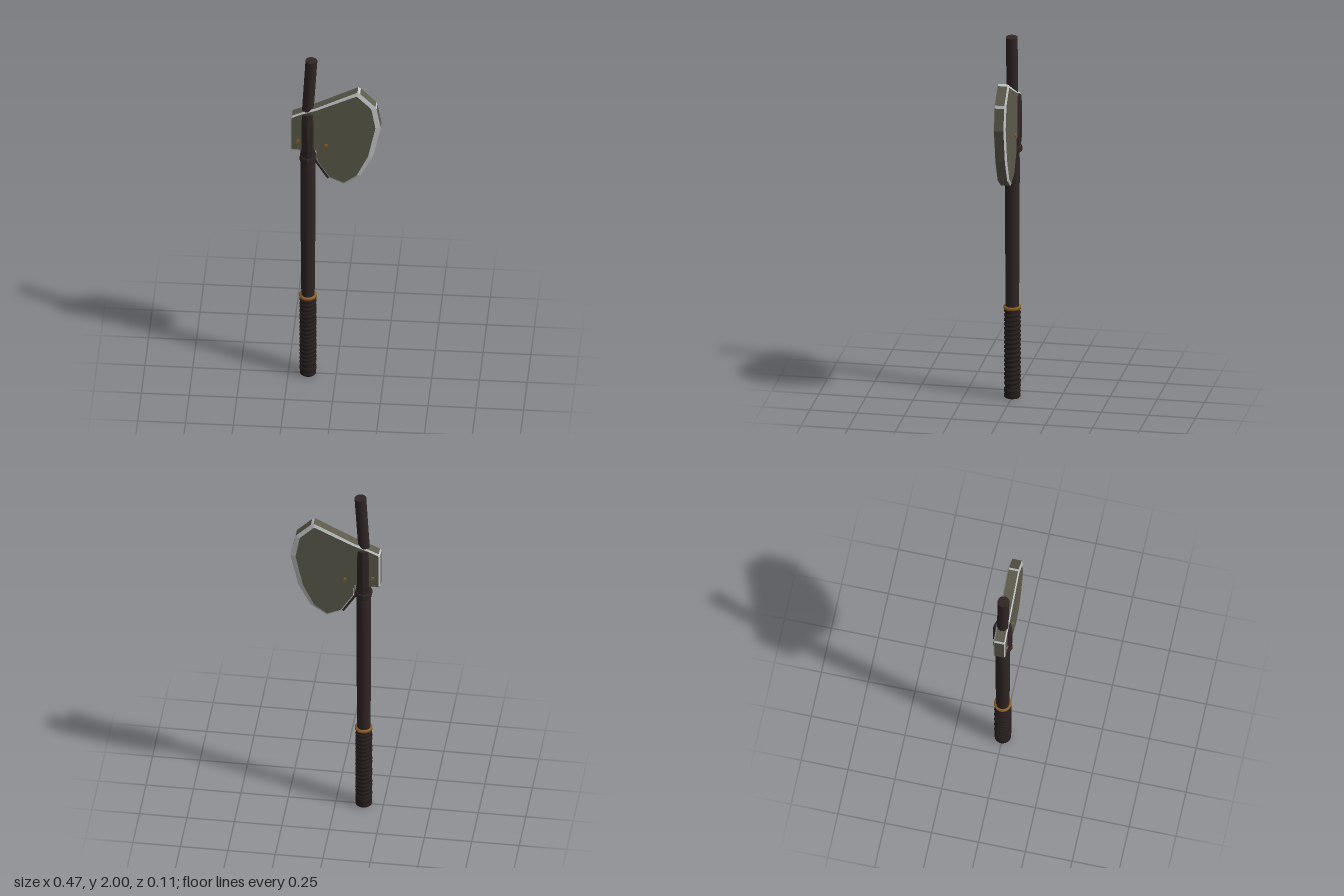
import * as THREE from 'three';

const mat = (name, color, side = THREE.FrontSide) => {
  const m = new THREE.MeshStandardMaterial({ color, side });
  m.name = name;
  return m;
};

export function createModel() {
  const root = new THREE.Group();
  const steel = mat('olive steel', 0x5c5a4b, THREE.DoubleSide);
  const edge = mat('bright edge', 0xc0c3c4, THREE.DoubleSide);
  const wood = mat('dark wood', 0x302525);
  const leather = mat('dark leather', 0x271e1e);
  const brass = mat('brass', 0x8c6028);
  const AX = -0.147; // handle axis

  const add = (name, geo, material, x = 0, y = 0, z = 0) => {
    const m = new THREE.Mesh(geo, material);
    m.name = name;
    m.position.set(x, y, z);
    root.add(m);
    return m;
  };
  // surface of revolution round the handle axis, profile as [radius, y]
  const turned = (name, pts, material, sides = 20) =>
    add(name, new THREE.LatheGeometry(pts.map(p => new THREE.Vector2(...p)), sides), material, AX);

  // handle: lower shaft, and the leaning upper shaft
  turned('shaft', [[0, 0.03], [0.035, 0.03], [0.035, 0.5], [0.038, 0.85], [0.039, 1.3], [0.037, 1.5], [0, 1.5]], wood);
  const lean = add('upperShaft', new THREE.CylinderGeometry(0.031, 0.03, 0.505, 20), wood, -0.144, 1.748, 0);
  lean.rotation.z = -0.06;

  // wrapped grip with a helical cord
  turned('gripCore', [[0, 0.02], [0.039, 0.02], [0.039, 0.495], [0, 0.495]], leather);
  const turns = 17, coil = [];
  for (let i = 0; i <= turns * 12; i++) {
    const a = (i / 12) * Math.PI * 2;
    coil.push(new THREE.Vector3(Math.cos(a) * 0.036, 0.06 + (0.425 * i) / (turns * 12), -Math.sin(a) * 0.036));
  }
  add('gripCord', new THREE.TubeGeometry(new THREE.CatmullRomCurve3(coil), turns * 16, 0.0095, 6), leather, AX);
  turned('pommel', [[0, 0], [0.038, 0], [0.043, 0.005], [0.043, 0.02], [0.039, 0.026], [0.044, 0.032],
    [0.044, 0.05], [0.038, 0.056], [0, 0.056]], leather);
  turned('gripRing', [[0.03, 0.491], [0.046, 0.491], [0.046, 0.506], [0.03, 0.506]], brass);

  // head: rows are outer x, y, inner face x, y, and 1 where the rim to the next point is bright
  const rows = [
    [-0.229, 1.443, -0.224, 1.451, 0], [-0.1, 1.443, -0.1, 1.451, 0], [-0.1, 1.38, -0.095, 1.385, 0],
    [-0.035, 1.275, -0.031, 1.283, 0], [0.045, 1.238, 0.042, 1.25, 0], [0.13, 1.295, 0.11, 1.3, 0],
    [0.195, 1.42, 0.17, 1.425, 0], [0.236, 1.605, 0.208, 1.605, 0], [0.214, 1.722, 0.188, 1.72, 1],
    [0.208, 1.737, 0.183, 1.732, 0], [0.128, 1.817, 0.114, 1.801, 1], [0.114, 1.825, 0.106, 1.803, 0],
    [-0.1, 1.715, -0.098, 1.704, 0], [-0.18, 1.682, -0.178, 1.674, 0], [-0.229, 1.66, -0.225, 1.652, 1],
    [-0.237, 1.65, -0.23, 1.645, 0], [-0.237, 1.451, -0.23, 1.457, 1],
  ];
  const Z0 = 0.025, Z1 = 0.032;
  const rim = [], bright = [];
  const quad = (list, a, b, c, d) => list.push(...a, ...b, ...c, ...a, ...c, ...d);
  rows.forEach((p, i) => {
    const q = rows[(i + 1) % rows.length];
    quad(p[4] ? bright : rim, [p[0], p[1], Z0], [p[0], p[1], -Z0], [q[0], q[1], -Z0], [q[0], q[1], Z0]);
    quad(bright, [p[0], p[1], Z0], [q[0], q[1], Z0], [q[2], q[3], Z1], [p[2], p[3], Z1]);
    quad(bright, [q[0], q[1], -Z0], [p[0], p[1], -Z0], [p[2], p[3], -Z1], [q[2], q[3], -Z1]);
  });
  const soup = list => {
    const g = new THREE.BufferGeometry();
    g.setAttribute('position', new THREE.Float32BufferAttribute(list, 3));
    g.computeVertexNormals();
    return g;
  };
  add('headRim', soup(rim), steel);
  add('headBevel', soup(bright), edge);
  const face = new THREE.ShapeGeometry(new THREE.Shape(rows.map(r => new THREE.Vector2(r[2], r[3]))));
  add('headFaceFront', face, steel, 0, 0, Z1);
  const back = face.clone().rotateY(Math.PI).scale(-1, 1, 1); // mirrored outline, facing back
  const idx = back.index.array;
  for (let i = 0; i < idx.length; i += 3) [idx[i], idx[i + 1]] = [idx[i + 1], idx[i]];
  back.computeVertexNormals();
  add('headFaceBack', back, steel, 0, 0, -Z1);

  // faceted socket sleeve and its collar
  const facet = (name, pts) => {
    const g = new THREE.LatheGeometry(pts.map(p => new THREE.Vector2(...p)), 10).toNonIndexed();
    g.computeVertexNormals();
    add(name, g, wood, AX).scale.x = 0.84;
  };
  facet('sleeve', [[0, 1.385], [0.043, 1.385], [0.051, 1.45], [0.052, 1.62], [0.047, 1.675], [0, 1.68]]);
  facet('collar', [[0.035, 1.365], [0.051, 1.365], [0.053, 1.372], [0.053, 1.393], [0.05, 1.4], [0.035, 1.4]]);

  // strap under the heel of the blade
  const strap = add('heelStrap', new THREE.BoxGeometry(0.13, 0.012, 0.046), wood, -0.074, 1.325, 0);
  strap.rotation.z = -1.01;

  // rivets through the head
  for (const [x, y] of [[-0.052, 1.485], [-0.197, 1.505]])
    add('rivet', new THREE.CylinderGeometry(0.009, 0.009, 0.078, 10).rotateX(Math.PI / 2), brass, x, y, 0);

  root.position.z = 0;
  return root;
}
